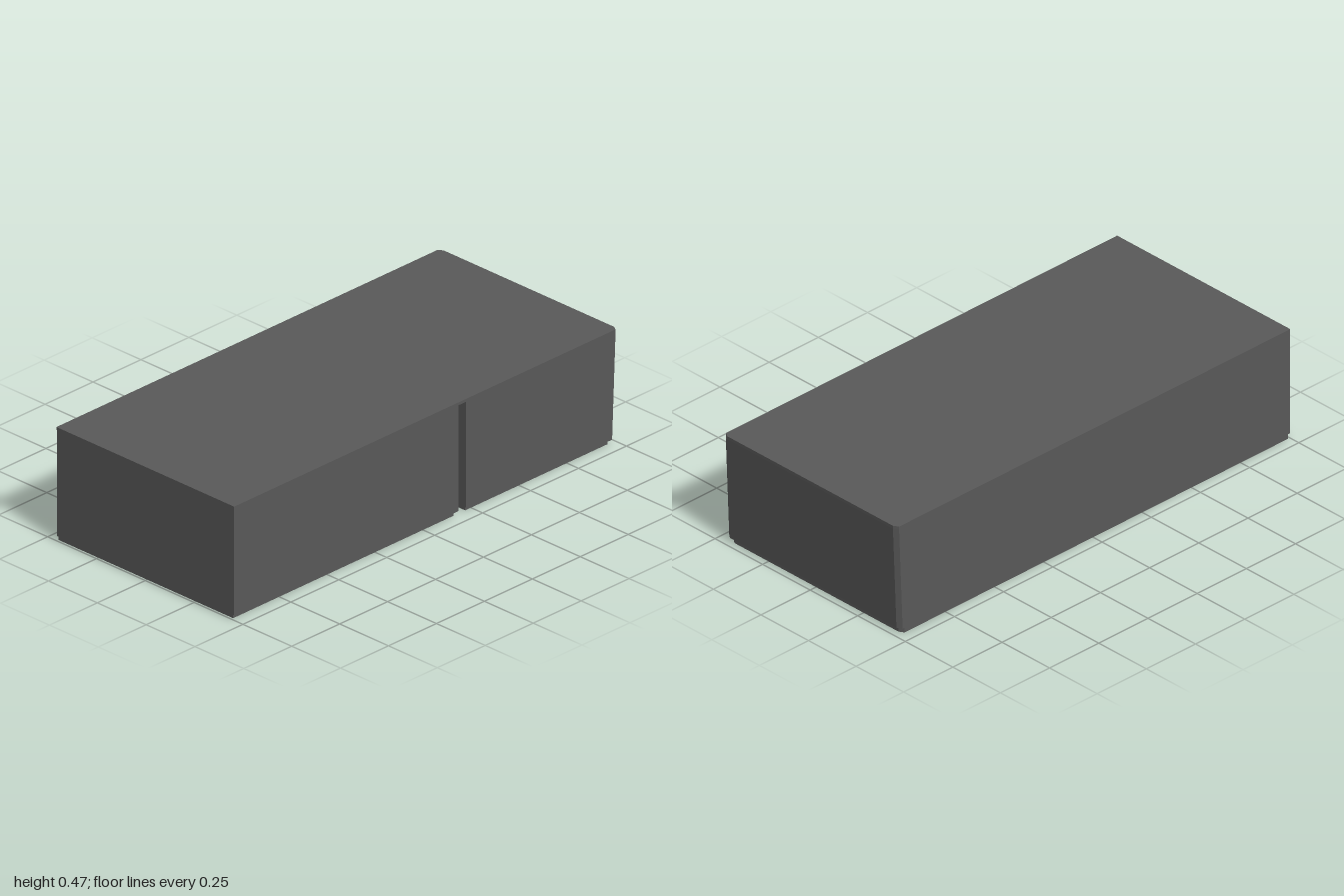
import * as THREE from 'three';

const grey = new THREE.MeshStandardMaterial({ color: 0x595959 });
grey.name = 'dark grey';

// Extrudes a floor plan of [x, z] points from height y0 up to y1.
function layer(name, plan, y0, y1) {
  const shape = new THREE.Shape(plan.map(([x, z]) => new THREE.Vector2(x, -z)));
  const geometry = new THREE.ExtrudeGeometry(shape, { depth: y1 - y0, bevelEnabled: false });
  geometry.rotateX(-Math.PI / 2).translate(0, y0, 0);
  const mesh = new THREE.Mesh(geometry, grey);
  mesh.name = name;
  return mesh;
}

// Outline of the block with the passage running in from the front,
// turning towards -x and ending in a small chamber. g widens the passage.
function blockPlan(x0, x1, zBack, zFront, g) {
  return [
    [x0, zBack], [x0, zFront],
    [0.17 - g, zFront], [0.17 - g, -0.06 + g], [-0.52 + g, -0.06 + g],
    [-0.52 + g, 0.18 + g], [-0.76 - g, 0.18 + g], [-0.76 - g, -0.12 - g],
    [0.21 + g, -0.12 - g], [0.21 + g, zFront],
    [x1 - 0.008, zFront], [x1, zFront - 0.012],
    [x1, zBack + 0.02], [x1 - 0.012, zBack],
  ];
}

export function createModel() {
  const model = new THREE.Group();
  model.name = 'hollowBlock';

  // Recessed foot around the bottom
  model.add(layer('foot', blockPlan(-0.99, 0.97, -0.453, 0.44, 0.01), 0, 0.02));

  // Main walls, with the +x end leaning outwards towards the top
  const walls = layer('walls', blockPlan(-1, 0.98, -0.453, 0.454, 0), 0.02, 0.455);
  const p = walls.geometry.attributes.position;
  for (let i = 0; i < p.count; i++) {
    if (p.getX(i) > 0.9) p.setX(i, p.getX(i) + 0.018 * (p.getY(i) - 0.02) / 0.435);
  }
  walls.geometry.computeVertexNormals();
  model.add(walls);

  // Closed top slab with clipped corners at the +x end
  model.add(layer('topSlab', [
    [-1, -0.455], [-1, 0.455], [0.988, 0.455], [1, 0.437], [1, -0.435], [0.988, -0.455],
  ], 0.455, 0.467));

  return model;
}
